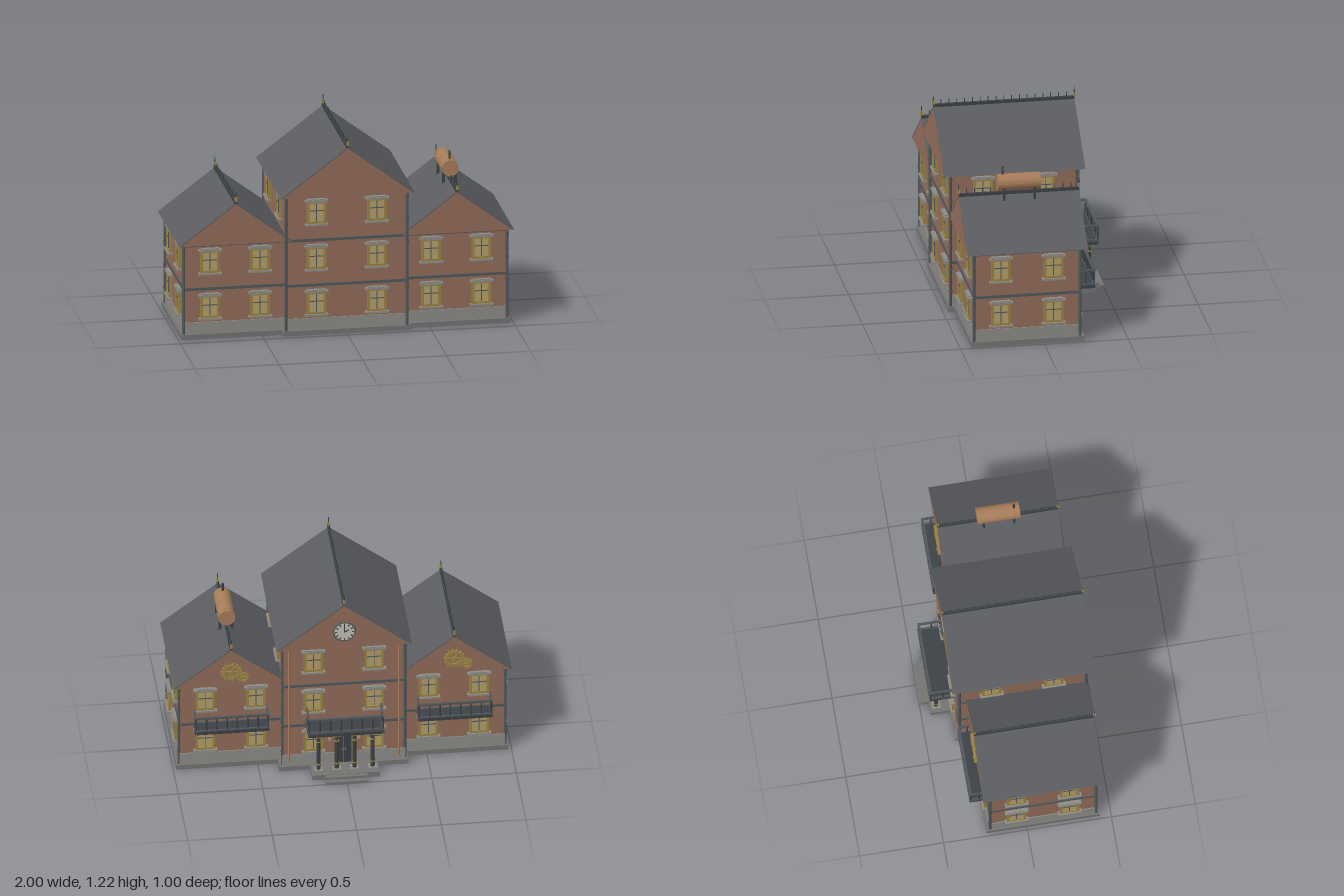
import * as THREE from 'three';

const mat = (color) => new THREE.MeshStandardMaterial({ color, flatShading: true });
const brick = mat(0x926c5a), slate = mat(0x5a5c60), stone = mat(0x8c8b86), slabGrey = mat(0x747372);
const iron = mat(0x3c4146), band = mat(0x50565a), gold = mat(0x9a8444), pane = mat(0xb39f6c);
const copper = mat(0xa87c5c), dial = mat(0xc4c0b4);

function add(parent, name, geo, material, x = 0, y = 0, z = 0) {
  const m = new THREE.Mesh(geo, material);
  m.name = name;
  m.position.set(x, y, z);
  parent.add(m);
  return m;
}
const box = (p, name, m, w, h, d, x, y, z) => add(p, name, new THREE.BoxGeometry(w, h, d), m, x, y, z);
// Box given by its limits on each axis
const span = (p, name, m, x0, x1, y0, y1, z0, z1) =>
  box(p, name, m, x1 - x0, y1 - y0, z1 - z0, (x0 + x1) / 2, (y0 + y1) / 2, (z0 + z1) / 2);
// Upright cylinder from y0 to y1
const rod = (p, name, m, r, y0, y1, x, z, sides = 8, rTop = r) =>
  add(p, name, new THREE.CylinderGeometry(rTop, r, y1 - y0, sides), m, x, (y0 + y1) / 2, z);
function group(parent, name, x = 0, y = 0, z = 0, turn = 0) {
  const g = new THREE.Group();
  g.name = name;
  g.position.set(x, y, z);
  g.rotation.y = turn;
  parent.add(g);
  return g;
}

// Window facing +z, centred on its frame
function addWindow(parent, x, y, z, turn) {
  const g = group(parent, 'window', x, y, z, turn);
  for (const s of [-1, 1]) {
    box(g, 'windowJamb', gold, 0.015, 0.14, 0.024, s * 0.05, 0, 0.006);
    box(g, 'windowRail', gold, 0.115, 0.015, 0.024, 0, s * 0.0625, 0.006);
  }
  box(g, 'pane', pane, 0.088, 0.112, 0.012, 0, 0, 0.004);
  box(g, 'mullion', band, 0.005, 0.112, 0.008, 0, 0, 0.01);
  box(g, 'transom', band, 0.088, 0.005, 0.008, 0, 0.01, 0.01);
  box(g, 'sill', stone, 0.14, 0.011, 0.034, 0, -0.074, 0.011);
  box(g, 'lintel', stone, 0.14, 0.013, 0.03, 0, 0.07, 0.01);
  box(g, 'lintelCap', stone, 0.11, 0.008, 0.026, 0, 0.079, 0.009);
}

// Gabled roof with ridge cresting and end finials
function addRoof(parent, name, cx, half, y0, y1, z0, z1) {
  const g = group(parent, name, cx);
  const prism = (pts, d) => new THREE.ExtrudeGeometry(
    new THREE.Shape(pts.map(([x, y]) => new THREE.Vector2(x, y))), { depth: d, bevelEnabled: false });
  add(g, 'gable', prism([[-half + 0.008, y0], [half - 0.008, y0], [0, y1 - 0.006]], z1 - z0 - 0.002), brick, 0, 0, z0 + 0.001);
  add(g, 'roofSlopes', prism([[-half, y0], [-half + 0.01, y0], [0, y1 - 0.008], [half - 0.01, y0],
    [half, y0], [0, y1]], z1 - z0), slate, 0, 0, z0);
  span(g, 'ridgeBeam', iron, -0.008, 0.008, y1 - 0.008, y1 + 0.012, z0, z1);
  const n = Math.round((z1 - z0) / 0.0467);
  for (let i = 1; i < n; i++)
    rod(g, 'ridgeSpike', iron, 0.003, y1 + 0.01, y1 + 0.04, 0, z0 + (z1 - z0) * i / n, 5);
  for (const z of [z0, z1]) {
    box(g, 'finialBase', gold, 0.014, 0.026, 0.014, 0, y1 + 0.022, z);
    rod(g, 'finialSpike', iron, 0.004, y1 + 0.03, y1 + 0.068, 0, z, 6, 0.002);
  }
}

// Drainpipe with clamps
function addPipe(parent, x, z, top, m = band) {
  const g = group(parent, 'drainpipe', x, 0, z);
  rod(g, 'pipe', m, 0.009, 0.03, top, 0, 0);
  for (let y = 0.12; y < top; y += 0.14) rod(g, 'pipeClamp', m, 0.012, y, y + 0.012, 0, 0);
}

// Storey block: slab, plinth, walls and floor bands
function addBlock(parent, name, x0, x1, z0, z1, top, bands) {
  const g = group(parent, name);
  const ring = (n, m, e, a, b) => span(g, n, m, x0 - e, x1 + e, a, b, z0 - e, z1 + e);
  ring('groundSlab', slabGrey, 0.022, 0, 0.03);
  ring('plinth', stone, 0.006, 0.03, 0.1);
  ring('walls', brick, 0, 0.1, top);
  for (const y of bands) ring('floorBand', band, 0.007, y - 0.008, y + 0.008);
}

// Balcony reaching from z = 0 to z = -d
function addBalcony(parent, x, z, w, d, y0, y1, top, posts) {
  const g = group(parent, 'balcony', x, 0, z);
  span(g, 'balconyFloor', iron, -w / 2, w / 2, y0, y0 + 0.02, -d, 0);
  span(g, 'frontKerb', band, -w / 2, w / 2, y0, y1, -d, -d + 0.012);
  span(g, 'frontRail', band, -w / 2, w / 2, top - 0.012, top, -d, -d + 0.014);
  for (const s of [-1, 1]) {
    const e = s * (w / 2 - 0.006);
    span(g, 'sideKerb', band, e - 0.006, e + 0.006, y0, y1, -d, 0);
    span(g, 'sideRail', band, e - 0.006, e + 0.006, top - 0.012, top, -d, 0);
    rod(g, 'sidePost', iron, 0.005, y1, top, e, -d * 0.45, 6);
  }
  for (let i = 0; i <= posts; i++)
    rod(g, 'railPost', iron, 0.005, y1 - 0.005, top - 0.005, (i / posts - 0.5) * (w - 0.014), -d + 0.007, 6);
}

// Toothed wheel with hub hole and spokes, facing -z
function addGear(parent, x, y, z, r, teeth, m) {
  const g = group(parent, 'gear', x, y, z);
  const s = new THREE.Shape();
  for (let i = 0; i < teeth * 4; i++) {
    const a = i / (teeth * 4) * Math.PI * 2, q = i % 4 < 2 ? r : r * 0.82;
    s[i ? 'lineTo' : 'moveTo'](Math.cos(a) * q, Math.sin(a) * q);
  }
  s.holes.push(new THREE.Path().absarc(0, 0, r * 0.58, 0, Math.PI * 2, true));
  add(g, 'gearRim', new THREE.ExtrudeGeometry(s, { depth: 0.014, bevelEnabled: false, curveSegments: 10 }), m, 0, 0, -0.014);
  for (let i = 0; i < 3; i++) box(g, 'gearSpoke', m, r * 1.3, r * 0.14, 0.008, 0, 0, -0.006).rotation.z = i * Math.PI / 3;
  add(g, 'gearHub', new THREE.CylinderGeometry(r * 0.22, r * 0.22, 0.018, 10), m, 0, 0, -0.009).rotation.x = Math.PI / 2;
}

export function createModel() {
  const house = new THREE.Group();
  house.name = 'house';
  const floors = [0.195, 0.472, 0.752];
  const F = 0.445, B = -0.305, WF = 0.41, WB = -0.22;

  // Central block
  addBlock(house, 'centralBlock', -0.36, 0.36, B, F, 0.86, [0.303, 0.58, 0.85]);
  addRoof(house, 'centralRoof', 0, 0.4, 0.855, 1.155, -0.345, 0.495);
  for (const s of [-1, 1]) {
    for (const y of floors) {
      addWindow(house, s * 0.18, y, F, 0);
      addWindow(house, s * 0.18, y, B, Math.PI);
    }
    for (const z of [0.26, -0.11]) addWindow(house, s * 0.36, floors[2], z, s * Math.PI / 2);
    addPipe(house, s * 0.362, F + 0.008, 0.857);
    addPipe(house, s * 0.362, B + 0.004, 0.857);
    rod(house, 'copperPipe', copper, 0.006, 0.06, 0.857, s * 0.325, B - 0.014);

    // Side wings
    const x0 = s > 0 ? 0.35 : -0.96;
    addBlock(house, 'sideWing', x0, x0 + 0.61, WB, WF, 0.585, [0.303, 0.572]);
    addRoof(house, 'wingRoof', s * 0.66, 0.34, 0.58, 0.835, -0.262, 0.455);
    for (const y of floors.slice(0, 2)) {
      for (const x of [0.51, 0.81]) {
        addWindow(house, s * x, y, WF, 0);
        addWindow(house, s * x, y, WB, Math.PI);
      }
      for (const z of [0.255, -0.06]) addWindow(house, s * 0.96, y, z, s * Math.PI / 2);
    }
    for (const z of [WF + 0.005, WB + 0.002]) addPipe(house, s * 0.965, z, 0.582);
    addBalcony(house, s * 0.66, WB, 0.44, 0.105, 0.288, 0.315, 0.405, 7);
    addGear(house, s * 0.66, 0.682, -0.262, 0.062, 14, gold);
    addGear(house, s * 0.66 - 0.072, 0.641, -0.262, 0.035, 10, gold);

    // Wall lantern beside the door
    const lamp = group(house, 'lantern', s * 0.085, 0.22, B - 0.02);
    box(lamp, 'lampGlass', pane, 0.016, 0.032, 0.016, 0, 0, -0.006);
    box(lamp, 'lampCap', gold, 0.024, 0.008, 0.024, 0, 0.019, -0.006);
    box(lamp, 'lampArm', iron, 0.006, 0.006, 0.02, 0, 0.024, 0.012);
  }

  // Clock on the rear gable
  const clock = group(house, 'clock', 0, 0.972, -0.345);
  add(clock, 'clockFace', new THREE.CylinderGeometry(0.062, 0.062, 0.01, 32), dial, 0, 0, -0.003).rotation.x = Math.PI / 2;
  add(clock, 'clockRim', new THREE.TorusGeometry(0.063, 0.005, 6, 32), band, 0, 0, -0.006);
  for (let i = 0; i < 12; i++) {
    const a = i * Math.PI / 6;
    box(clock, 'hourMark', iron, 0.006, 0.013, 0.006, Math.sin(a) * 0.05, Math.cos(a) * 0.05, -0.01).rotation.z = -a;
  }
  box(clock, 'minuteHand', iron, 0.005, 0.042, 0.004, 0, 0.02, -0.011);
  box(clock, 'hourHand', iron, 0.006, 0.03, 0.004, -0.011, 0.007, -0.011).rotation.z = 1;

  // Rear porch: steps, columns, balcony and door
  span(house, 'porchFloor', slabGrey, -0.2, 0.2, 0, 0.033, -0.445, B);
  span(house, 'upperStep', slabGrey, -0.125, 0.125, 0, 0.03, -0.472, -0.44);
  span(house, 'lowerStep', slabGrey, -0.125, 0.125, 0, 0.015, -0.502, -0.44);
  for (const x of [-0.16, -0.053, 0.053, 0.16]) {
    const col = group(house, 'column', x, 0, -0.407);
    box(col, 'columnBase', stone, 0.05, 0.024, 0.05, 0, 0.044, 0);
    rod(col, 'columnShaft', iron, 0.013, 0.055, 0.285, 0, 0, 12, 0.012);
    for (const y of [0.088, 0.245]) rod(col, 'columnCollar', gold, 0.016, y, y + 0.007, 0, 0, 12);
    box(col, 'columnCapital', gold, 0.046, 0.022, 0.046, 0, 0.295, 0);
  }
  addBalcony(house, 0, B, 0.45, 0.15, 0.306, 0.342, 0.43, 7);
  const door = group(house, 'door', 0, 0, B);
  span(door, 'doorFrame', gold, -0.055, 0.055, 0.03, 0.25, -0.014, 0.01);
  for (const s of [-1, 1]) {
    box(door, 'doorLeaf', iron, 0.044, 0.195, 0.012, s * 0.0235, 0.133, -0.012);
    box(door, 'doorKnob', gold, 0.006, 0.012, 0.008, s * 0.008, 0.13, -0.02);
  }

  // Copper tank on the left wing's ridge
  const tank = group(house, 'roofTank', 0.66, 0.904, 0.0975);
  const drum = (name, m, r, len, z) => {
    add(tank, name, new THREE.CylinderGeometry(r, r, len, 20), m, 0, 0, z).rotation.x = Math.PI / 2;
  };
  drum('tankDrum', copper, 0.05, 0.255, 0);
  for (const z of [-0.1, 0, 0.1]) drum('tankBand', gold, 0.0512, 0.006, z);
  for (const z of [-0.09, 0.092]) {
    for (const s of [-1, 1]) box(tank, 'tankLeg', iron, 0.016, 0.08, 0.012, s * 0.036, -0.065, z);
    box(tank, 'tankSaddle', iron, 0.088, 0.02, 0.012, 0, -0.045, z);
  }
  rod(tank, 'tankVent', iron, 0.007, 0.04, 0.1, 0, 0.095);
  return house;
}
